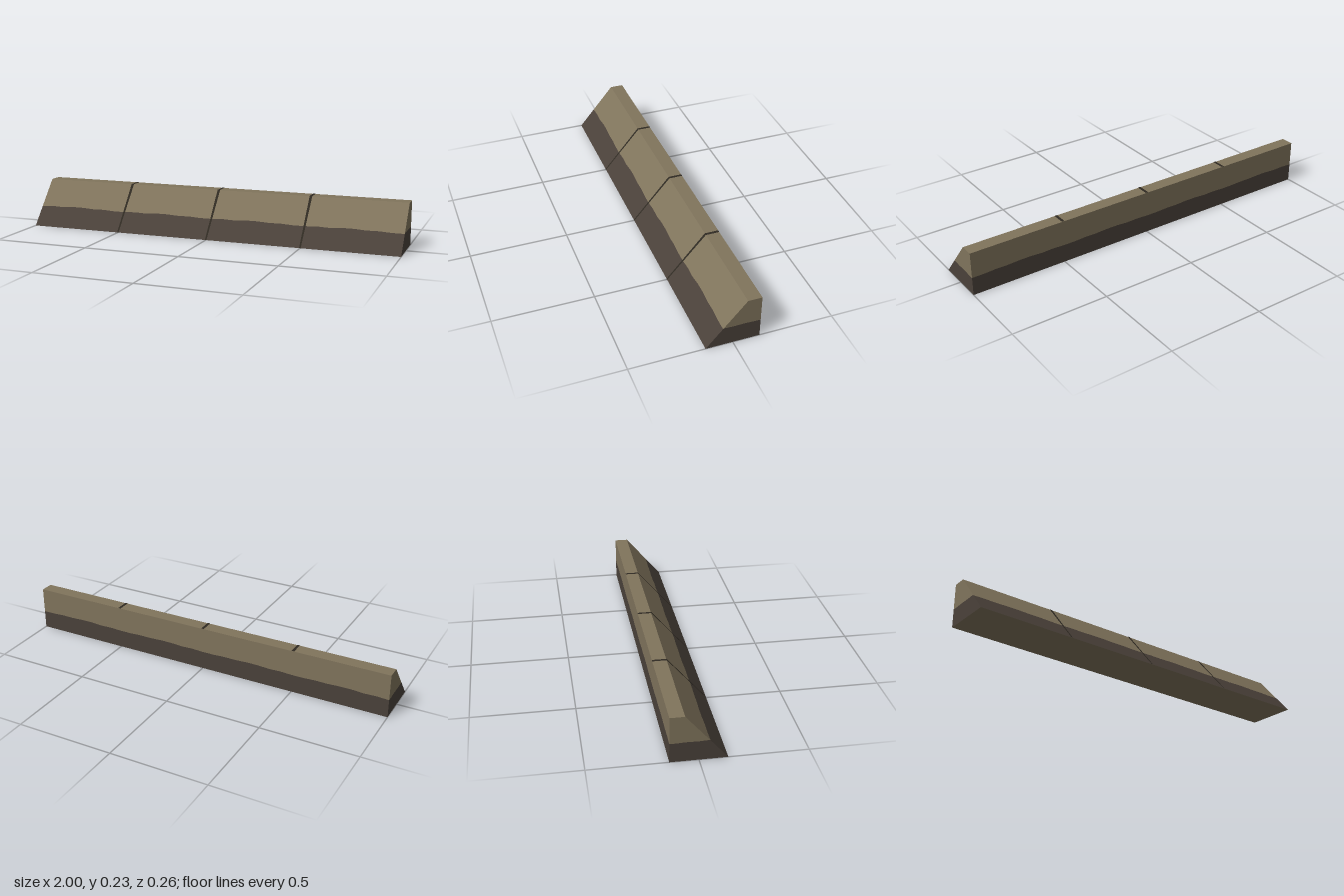
import * as THREE from 'three';

const BACK = -0.132, FRONT = 0.132, CREST = -0.063, TOP = 0.228;
const slopeZ = y => FRONT - (y / TOP) * (FRONT - CREST);
const slopeY = z => z < CREST ? TOP : TOP * (FRONT - z) / (FRONT - CREST);

// Uneven height of the dark band, repeated along every block
const BAND = [0.095, 0.098, 0.096, 0.1, 0.1, 0.097, 0.098, 0.095, 0.095];

export function createModel() {
  const group = new THREE.Group();
  const paint = (name, color) => {
    const m = new THREE.MeshStandardMaterial({ color });
    m.name = name;
    return m;
  };
  const stone = paint('tan stone', 0x80745c);
  const base = paint('dark base', 0x4a413a);
  const joint = paint('dark joint', 0x2f2a22);

  // Surface between a lower and an upper row of points, facing (row direction) x (up)
  function strip(name, low, high, material) {
    const p = [];
    for (let i = 0; i < low.length - 1; i++) {
      p.push(...low[i], ...low[i + 1], ...high[i + 1], ...low[i], ...high[i + 1], ...high[i]);
    }
    const g = new THREE.BufferGeometry();
    g.setAttribute('position', new THREE.Float32BufferAttribute(p, 3));
    g.computeVertexNormals();
    const mesh = new THREE.Mesh(g, material);
    mesh.name = name;
    group.add(mesh);
  }

  // Sloped front and upright back of each block
  const steps = BAND.length - 1;
  for (let b = 0; b < 4; b++) {
    const xs = BAND.map((_, i) => -1 + b * 0.5 + (i / steps) * 0.5);
    const row = (height, depth) => xs.map((x, i) => [x, height(i), depth(height(i))]);
    const floor = () => 0, band = i => BAND[i], crest = () => TOP;
    const rear = () => BACK;
    strip('frontBase', row(floor, slopeZ), row(band, slopeZ), base);
    strip('frontSlope', row(band, slopeZ), row(crest, slopeZ), stone);
    strip('backBase', row(floor, rear).reverse(), row(band, rear).reverse(), base);
    strip('backWall', row(band, rear).reverse(), row(crest, rear).reverse(), stone);
    // Top and underside
    const x0 = xs[0], x1 = xs[steps];
    strip('topFace', [[x0, TOP, CREST], [x1, TOP, CREST]], [[x0, TOP, BACK], [x1, TOP, BACK]], stone);
    strip('underside', [[x0, 0, BACK], [x1, 0, BACK]], [[x0, 0, FRONT], [x1, 0, FRONT]], stone);
  }

  // End walls
  const zs = [FRONT, slopeZ(0.098), 0, CREST, -0.1, BACK];
  const split = [0, 0.098, 0.096, 0.097, 0.095, 0.095];
  for (const side of [1, -1]) {
    const row = f => {
      const r = zs.map((z, i) => [side, f(z, i), z]);
      return side > 0 ? r : r.reverse();
    };
    strip('endBase', row(() => 0), row((z, i) => split[i]), base);
    strip('endWall', row((z, i) => split[i]), row((z, i) => Math.max(split[i], slopeY(z))), stone);
  }

  // Thin joints between blocks, narrowing towards the foot of the slope
  const lift = 0.001;
  for (const x of [-0.5, 0, 0.5]) {
    const pair = (w, y, z) => [[x - w, y, z], [x + w, y, z]];
    const foot = pair(0.004, lift, FRONT + lift);
    const crest = pair(0.007, TOP + lift, CREST + lift);
    strip('slopeJoint', foot, crest, joint);
    strip('topJoint', crest, pair(0.007, TOP + lift, BACK), joint);
  }
  return group;
}
